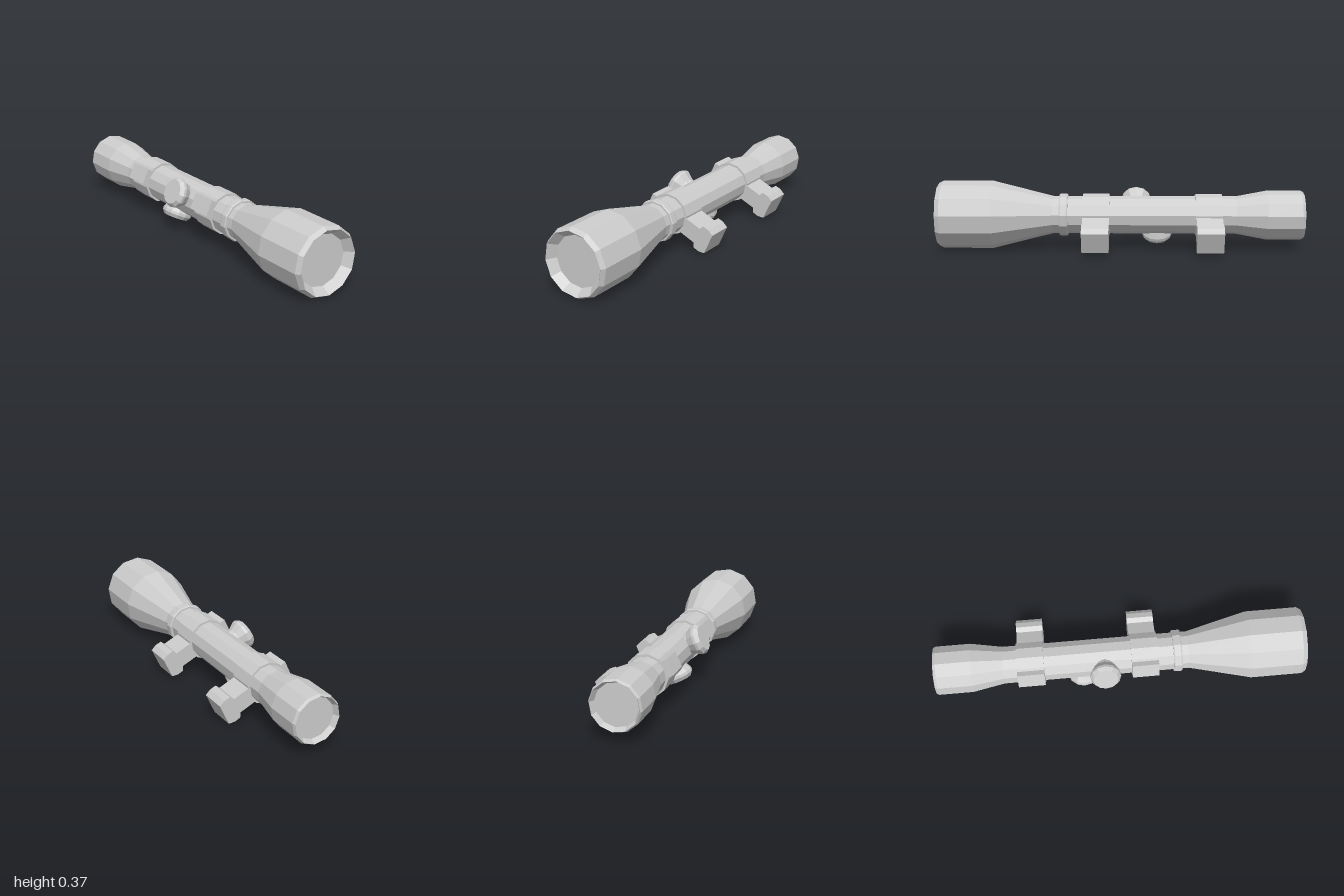
import * as THREE from 'three';

const SIDES = 12;
const material = new THREE.MeshStandardMaterial({ color: 0xcccccc, flatShading: true });

function add(parent, name, geometry) {
  const mesh = new THREE.Mesh(geometry, material);
  mesh.name = name;
  parent.add(mesh);
  return mesh;
}

// Faceted solid of revolution from [radius, height] pairs, listed bottom to top
function turned(profile) {
  return new THREE.LatheGeometry(profile.map(([r, h]) => new THREE.Vector2(r, h)), SIDES);
}

// Same, with its axis laid along z
const turnedZ = (profile) => turned(profile).rotateX(Math.PI / 2);

// Clamp ring with a foot below and a pad above
function makeMount(name, z) {
  const mount = new THREE.Group();
  mount.name = name;
  const depth = 0.145;

  add(mount, 'clampRing', turnedZ([
    [0.1, -depth / 2], [0.115, -depth / 2], [0.115, depth / 2], [0.1, depth / 2],
  ]));

  const half = [[0.047, -0.09], [0.047, -0.195], [0.073, -0.209], [0.074, -0.243], [0.061, -0.277]];
  const mirrored = half.map(([x, y]) => [-x, y]).reverse();
  const shape = new THREE.Shape([...half, ...mirrored].map(([x, y]) => new THREE.Vector2(x, y)));
  const foot = new THREE.ExtrudeGeometry(shape, { depth, bevelEnabled: false });
  add(mount, 'foot', foot.translate(0, 0, -depth / 2));

  add(mount, 'clampPad', new THREE.BoxGeometry(0.086, 0.05, depth)).position.y = 0.11;

  mount.position.z = z;
  return mount;
}

// Adjustment knob, flaring outward to a bevelled cap
function makeKnob(name, z, top, angle) {
  const knob = new THREE.Group();
  knob.name = name;
  add(knob, 'knobBody', turned([
    [0.06, 0.06], [0.063, top - 0.075], [0.083, top - 0.035],
    [0.083, top - 0.02], [0.068, top], [0, top],
  ]));
  knob.position.z = z;
  knob.rotation.z = angle;
  return knob;
}

export function createModel() {
  const model = new THREE.Group();
  model.name = 'telescopicSight';

  // The whole sight lies rolled onto its side
  const sight = new THREE.Group();
  sight.name = 'sight';
  sight.position.set(-0.046, 0.187, 0);
  sight.rotation.z = THREE.MathUtils.degToRad(65);
  model.add(sight);

  // Eyepiece, tube and objective bell in one run, outer skin only
  add(sight, 'body', turnedZ([
    [0.112, -0.97], [0.127, -1], [0.135, -0.985], [0.135, -0.8],
    [0.103, -0.63], [0.103, 0.37], [0.186, 0.7], [0.186, 0.975],
    [0.172, 1], [0.137, 0.955],
  ]));

  // Recessed lenses at both ends
  const front = add(sight, 'objectiveLens', turnedZ([[0.137, 0], [0, 0]]));
  front.position.z = 0.955;
  const rear = add(sight, 'eyepieceLens', turnedZ([[0, 0], [0.112, 0]]));
  rear.position.z = -0.97;

  // Raised collar behind the objective bell
  add(sight, 'collar', turnedZ([
    [0.1, 0.288], [0.112, 0.288], [0.116, 0.295], [0.116, 0.328], [0.112, 0.335], [0.1, 0.335],
  ]));

  sight.add(makeKnob('elevationKnob', -0.085, 0.175, 0));
  sight.add(makeKnob('windageKnob', -0.2, 0.145, Math.PI / 2));
  sight.add(makeMount('frontMount', 0.133));
  sight.add(makeMount('rearMount', -0.482));

  return model;
}
